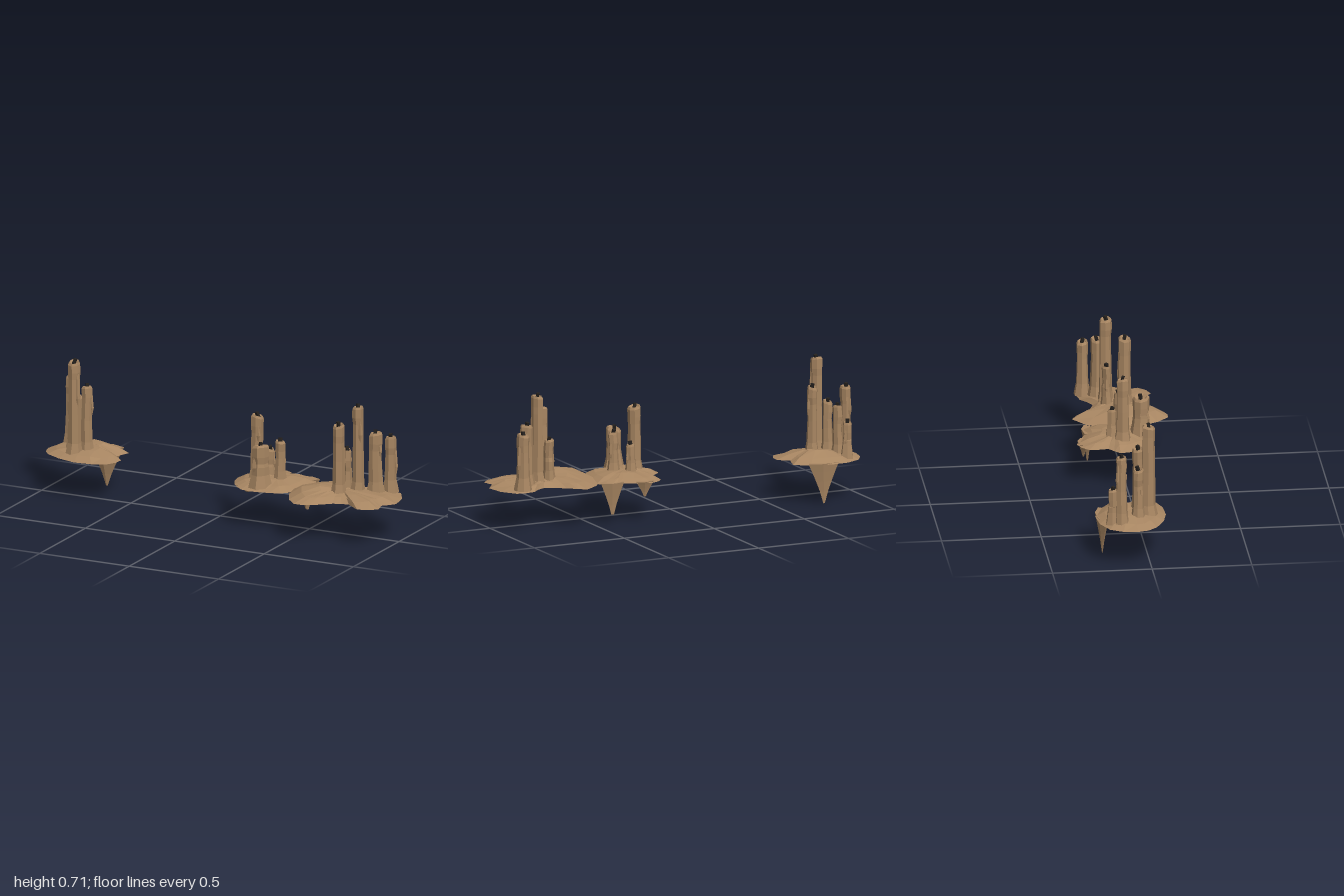
import * as THREE from 'three';

const wax = new THREE.MeshStandardMaterial({ color: 0xa88662, flatShading: true });
wax.name = 'tan wax';
const char = new THREE.MeshStandardMaterial({ color: 0x25211e, flatShading: true });
char.name = 'charred wick';

let seed = 7;
const rand = () => (seed = (seed * 16807) % 2147483647) / 2147483647;
const jitter = (amount) => (rand() - 0.5) * 2 * amount;

// Skin a stack of equal-sized rings (anticlockwise from above, bottom to top) and cap both ends.
function loft(rings, material, name) {
  const n = rings[0].length, pos = rings.flat(2), idx = [];
  const last = (rings.length - 1) * n;
  for (let r = 0; r < rings.length - 1; r++) {
    for (let i = 0; i < n; i++) {
      const a = r * n + i, b = r * n + (i + 1) % n;
      idx.push(a, b, b + n, a, b + n, a + n);
    }
  }
  [rings[0], rings[rings.length - 1]].forEach((ends) => {
    for (let k = 0; k < 3; k++) pos.push(ends.reduce((s, p) => s + p[k], 0) / n);
  });
  const low = last + n, high = low + 1;
  for (let i = 0; i < n; i++) {
    const j = (i + 1) % n;
    idx.push(low, j, i, high, last + i, last + j);
  }
  const g = new THREE.BufferGeometry();
  g.setAttribute('position', new THREE.Float32BufferAttribute(pos, 3));
  g.setIndex(idx);
  g.computeVertexNormals();
  const mesh = new THREE.Mesh(g, material);
  mesh.name = name;
  return mesh;
}

const ring = (n, x, y, z, rx, rz = rx, wobble = null) => Array.from({ length: n }, (_, i) => {
  const a = (i / n) * Math.PI * 2 + 0.3, w = wobble ? wobble[i] : 1;
  return [x + Math.cos(a) * rx * w, y, z - Math.sin(a) * rz * w];
});

// Thin puddle of set wax: flat underside, sharp rim, low top with one mound.
function puddle(outline, cx, cz, moundX, moundZ, moundHeight) {
  const corners = outline.map(([x, z]) => new THREE.Vector3(x, 0, z));
  const rim = new THREE.CatmullRomCurve3(corners, true).getPoints(outline.length * 2).slice(1).reverse();
  const level = (t, y, noise, mound = 0) => rim.map((p) => {
    const x = cx + (p.x - cx) * t, z = cz + (p.z - cz) * t;
    const d = Math.hypot(x - moundX, z - moundZ);
    return [x, y + jitter(noise) + mound * Math.exp(-d * d / 0.008), z];
  });
  return loft([level(0.6, 0.192, 0.002), level(1, 0.201, 0.002),
    level(0.75, 0.222, 0.005, moundHeight), level(0.4, 0.234, 0.004, moundHeight)], wax, 'waxPuddle');
}

// Candle with a flared foot, uneven shaft, swollen lip, slanted hollow top and bent wick.
function candle(x, z, top, r = 0.012 + 0.027 * top) {
  const group = new THREE.Group();
  group.name = 'candle';
  const n = 7, base = 0.21, h = top - base;
  const wobble = Array.from({ length: n }, () => 1 + jitter(0.12));
  const slantX = jitter(0.25), slantZ = jitter(0.25);
  const levels = [[base, 1.5], [base + 0.065, 1.12], [base + h / 2, 1.02], [top - 0.09, 0.97],
    [top - 0.055, 1.04], [top - 0.012, 1.04], [top, 0.85], [top - 0.012, 0.5]];
  const rings = levels.map(([y, s], k) => {
    const slant = k > 4 ? 1 : 0;
    return ring(n, x + jitter(0.002), y, z + jitter(0.002), r * s, r * s, wobble)
      .map(([px, py, pz]) => [px, py + slant * ((px - x) * slantX + (pz - z) * slantZ), pz]);
  });
  group.add(loft(rings, wax, 'candleBody'));

  // Wax run down one side
  const a = rand() * Math.PI * 2, length = h * (0.35 + rand() * 0.4);
  const at = (y, d, s) => ring(5, x + Math.cos(a) * r * d, y, z + Math.sin(a) * r * d, s * r);
  group.add(loft([at(top - length, 0.85, 0.1), at(top - length * 0.75, 0.85, 0.38),
    at(top - 0.02, 0.6, 0.3)], wax, 'waxRun'));

  const wick = new THREE.Mesh(new THREE.BoxGeometry(0.015, 0.036, 0.015), char);
  wick.name = 'wick';
  wick.position.set(x, top - 0.003, z);
  wick.rotation.set(jitter(0.3), rand() * 3, jitter(0.3));
  group.add(wick);
  return group;
}

// Drip under the puddle, flaring from a blunt tip up to its root.
function drip(x, z, tipY, rx, rz, tip = 0.12) {
  const rings = [0, 0.3, 0.55, 0.8, 1].map((t) => {
    const s = tip + (1 - tip) * t ** 1.2;
    return ring(6, x, tipY + (0.208 - tipY) * t, z, rx * s, rz * s);
  });
  return loft(rings, wax, 'hangingDrip');
}

function cluster(name, ...parts) {
  const group = new THREE.Group();
  group.name = name;
  return group.add(...parts);
}

export function createModel() {
  seed = 7;
  const model = new THREE.Group();
  model.name = 'meltedCandles';

  const rightRim = [[-1, -0.07], [-0.95, -0.205], [-0.77, -0.26], [-0.6, -0.175], [-0.625, -0.09],
    [-0.575, -0.04], [-0.605, 0.06], [-0.77, 0.095], [-0.95, 0.03]];
  model.add(cluster('rightCluster',
    puddle(rightRim, -0.79, -0.08, -0.76, -0.13, 0.022),
    candle(-0.895, -0.185, 0.395),
    candle(-0.908, -0.143, 0.57),
    candle(-0.865, -0.135, 0.47),
    candle(-0.85, -0.055, 0.48),
    candle(-0.768, -0.045, 0.56),
    candle(-0.815, 0.003, 0.695),
    drip(-0.748, -0.222, 0, 0.095, 0.036, 0.05)));

  const middleRim = [[0.08, -0.035], [0.14, -0.09], [0.14, -0.185], [0.22, -0.24], [0.35, -0.185],
    [0.42, -0.195], [0.47, -0.13], [0.445, 0.055], [0.4, 0.125], [0.285, 0.15], [0.19, 0.145], [0.12, 0.08]];
  model.add(cluster('middleCluster',
    puddle(middleRim, 0.28, -0.04, 0.25, 0, 0.008),
    candle(0.203, -0.013, 0.55, 0.031),
    candle(0.25, -0.062, 0.37),
    candle(0.325, -0.02, 0.43),
    candle(0.268, 0.085, 0.425, 0.04),
    drip(0.4, -0.167, 0.045, 0.072, 0.03),
    drip(0.24, -0.205, 0.13, 0.055, 0.03),
    drip(0.2, 0.095, 0.177, 0.06, 0.04)));

  const leftRim = [[0.42, -0.06], [0.57, -0.225], [0.65, -0.155], [0.75, -0.1], [0.83, -0.155], [0.93, -0.16],
    [0.995, 0.02], [0.945, 0.085], [0.96, 0.15], [0.87, 0.205], [0.79, 0.14], [0.71, 0.16], [0.62, 0.24],
    [0.54, 0.255], [0.44, 0.11]];
  model.add(cluster('leftCluster',
    puddle(leftRim, 0.68, 0.02, 0.55, 0.08, 0.03),
    candle(0.688, 0.052, 0.58, 0.032),
    candle(0.692, -0.038, 0.43),
    candle(0.753, -0.034, 0.66),
    candle(0.83, -0.072, 0.525, 0.031),
    candle(0.883, -0.138, 0.495, 0.03)));
  return model;
}
